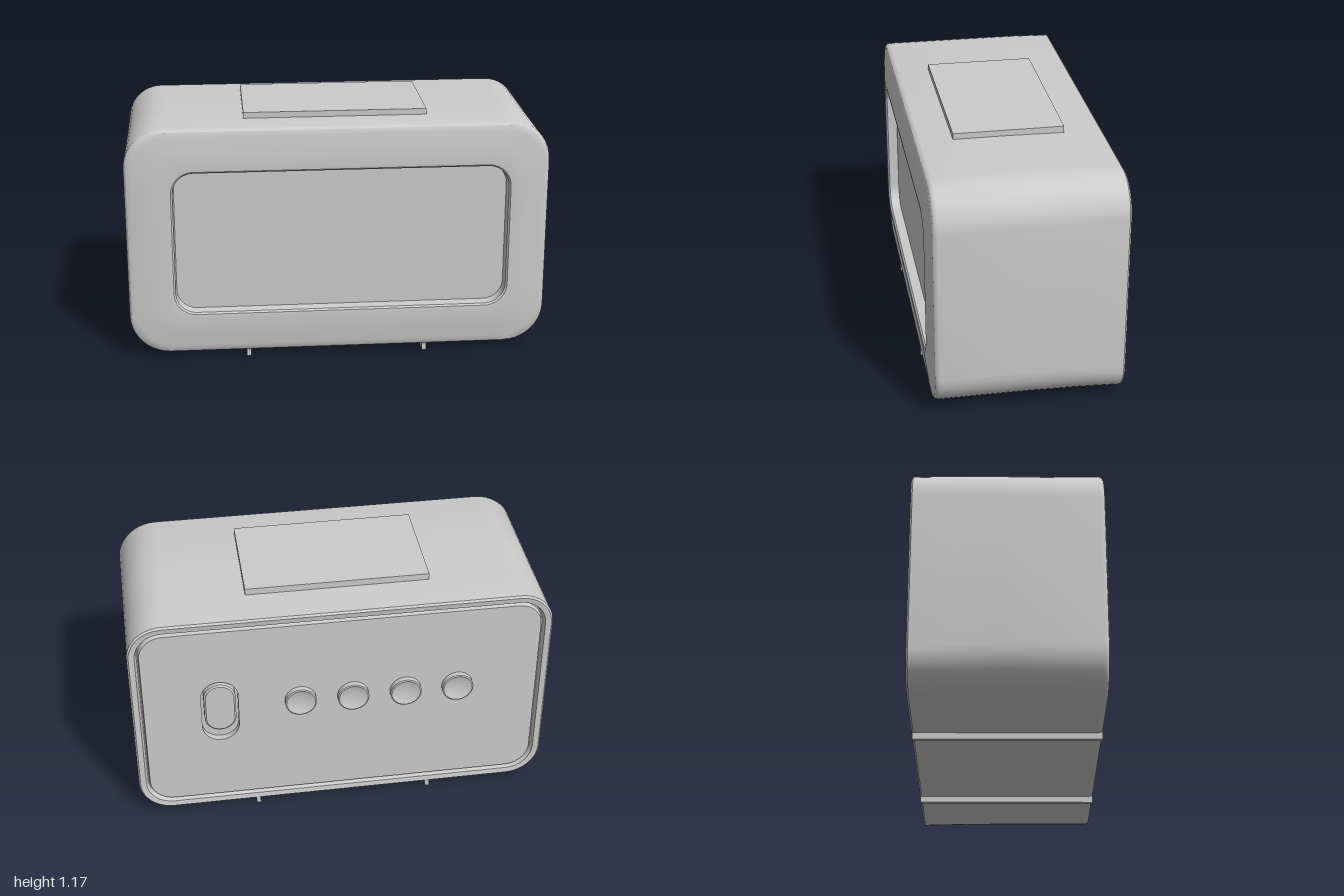
import * as THREE from 'three';
import { toCreasedNormals } from 'three/addons/utils/BufferGeometryUtils.js';

const CORNER = 10; // segments per rounded corner

// Rounded rectangle as a counter-clockwise ring of points at depth z
function ring(x0, x1, y0, y1, r, z) {
  const pts = [];
  const centres = [[x1 - r, y1 - r], [x0 + r, y1 - r], [x0 + r, y0 + r], [x1 - r, y0 + r]];
  centres.forEach(([cx, cy], q) => {
    for (let i = 0; i <= CORNER; i++) {
      const a = (q + i / CORNER) * Math.PI / 2;
      pts.push(new THREE.Vector3(cx + r * Math.cos(a), cy + r * Math.sin(a), z));
    }
  });
  return pts;
}

// Skin through a list of rings, with sharp edges kept
function loft(rings, crease = 0.6) {
  const n = rings[0].length, pos = [], index = [];
  rings.forEach(r => r.forEach(p => pos.push(p.x, p.y, p.z)));
  for (let k = 0; k < rings.length - 1; k++) {
    for (let i = 0; i < n; i++) {
      const j = (i + 1) % n;
      const a = k * n + i, b = k * n + j, c = a + n, d = b + n;
      index.push(a, b, d, a, d, c);
    }
  }
  const g = new THREE.BufferGeometry();
  g.setAttribute('position', new THREE.Float32BufferAttribute(pos, 3));
  g.setIndex(index);
  return toCreasedNormals(g, crease);
}

// Flat face filling a ring; back faces look towards -z
function face(points, back = false, hole = null) {
  const flat = pts => pts.map(p => new THREE.Vector2(back ? -p.x : p.x, p.y));
  const s = new THREE.Shape(flat(points));
  if (hole) s.holes.push(new THREE.Path(flat(hole)));
  const g = new THREE.ShapeGeometry(s);
  if (back) g.rotateY(Math.PI);
  return g.translate(0, 0, points[0].z);
}

export function createModel() {
  const group = new THREE.Group();
  const mat = new THREE.MeshStandardMaterial({ color: 0xcccccc });
  const add = (name, geo, parent = group) => {
    const m = new THREE.Mesh(geo, mat);
    m.name = name;
    parent.add(m);
    return m;
  };

  // Outline and window, each grown inward by d
  const outline = (d, z, r = 0.19, drop = 0) =>
    ring(-0.998 + d, 0.998 - d, 0.03 + d, 1.142 - d - drop, r, z);
  const opening = (d, z) => ring(-0.775 + d, 0.805 - d, 0.24 + d, 0.935 - d, 0.1 - d, z);

  // Housing: back rim, long sides, swelling front frame, window recess
  add('housing', loft([
    outline(0.045, -0.41, 0.12, 0.016),
    outline(0.035, -0.436, 0.13, 0.016),
    outline(0.008, -0.44, 0.155, 0.016),
    outline(0, -0.432, 0.165, 0.014),
    outline(0, -0.25, 0.18, 0.004),
    outline(0, 0, 0.19),
    outline(0, 0.415, 0.19),
    outline(0.003, 0.428, 0.19),
    outline(0.012, 0.437, 0.185),
    outline(0.035, 0.441, 0.18),
    outline(0.1, 0.448, 0.16),
    opening(-0.025, 0.457),
    opening(-0.008, 0.455),
    opening(0, 0.447),
    opening(0.005, 0.4),
  ]));
  add('displayPanel', face(opening(0.005, 0.4)));

  // Back panel with a groove round it and a slot for the switch
  const slot = z => ring(0.497, 0.673, 0.43, 0.78, 0.088, z);
  const panel = (d, z) => outline(d, z, 0.115, 0.016);
  add('backPanelGroove', face(outline(0.04, -0.41, 0.12, 0.016), true, slot(-0.41)));
  add('backPanelEdge', loft([panel(0.055, -0.432), panel(0.05, -0.41)]));
  add('backPanel', face(panel(0.055, -0.432), true, slot(-0.432)));

  // Sliding switch sitting high in its slot
  const slider = new THREE.Group();
  slider.name = 'slideSwitch';
  group.add(slider);
  const knob = (d, z) => ring(0.51 + d, 0.66 - d, 0.5 + d, 0.77 - d, 0.075 - d, z);
  add('switchSlotWall', loft([slot(-0.4), slot(-0.432)]), slider);
  add('switchSlotFloor', face(slot(-0.4), true), slider);
  add('switchKnob', loft([knob(0.008, -0.445), knob(0, -0.439), knob(0, -0.4)]), slider);
  add('switchKnobFace', face(knob(0.008, -0.445), true), slider);

  // Four round buttons with shallow dished faces
  const profile = [[0, 0.02], [0.03, 0.0215], [0.058, 0.0255], [0.069, 0.03], [0.075, 0.027], [0.075, 0]]
    .map(([r, h]) => new THREE.Vector2(r, h)).reverse();
  const buttonGeo = toCreasedNormals(new THREE.LatheGeometry(profile, 32), 0.6);
  buttonGeo.rotateX(-Math.PI / 2);
  for (const x of [-0.555, -0.303, -0.05, 0.202]) {
    add('backButton', buttonGeo).position.set(x, 0.635, -0.431);
  }

  // Flat snooze bar on top
  add('topButton', new THREE.BoxGeometry(0.866, 0.04, 0.518)).position.set(-0.002, 1.15, 0.006);

  // Two thin runners underneath
  for (const x of [-0.432, 0.418]) {
    add('footRail', new THREE.BoxGeometry(0.022, 0.035, 0.875)).position.set(x, 0.0175, 0);
  }

  return group;
}
